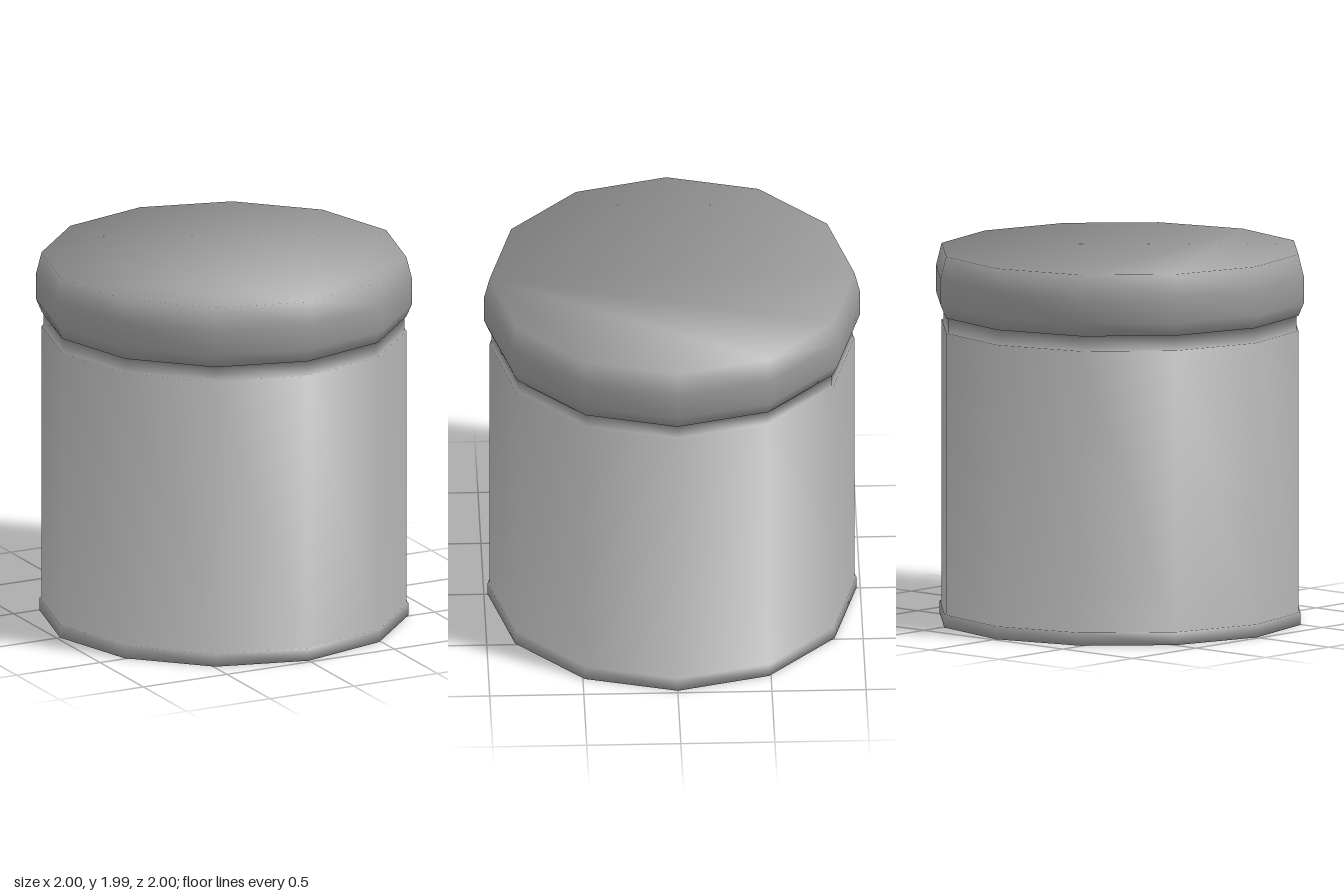
import * as THREE from 'three';

const SIDES = 12;
const HALF_STEP = Math.PI / SIDES;
const material = new THREE.MeshStandardMaterial({ color: 0x9a9a9a, side: THREE.DoubleSide });

// Smooth profile normal at point i, each band weighted by its corner angle
function profileNormal(points, i) {
  const n = new THREE.Vector2();
  for (const step of [-1, 1]) {
    const other = points[i + step];
    if (!other) continue;
    const along = other.clone().sub(points[i]).normalize();
    const weight = Math.PI / 2 + HALF_STEP * along.x;
    n.x += step * along.y * weight * Math.cos(HALF_STEP);
    n.y -= step * along.x * weight;
  }
  return n.normalize();
}

// Twelve-sided turned shape, smooth all over; the last profile point is the
// middle of the flat top, which is closed as one polygon
function turned(profile) {
  const points = profile.map(([r, y]) => new THREE.Vector2(r, y));
  const rings = points.slice(0, -1);
  const count = rings.length;
  const geometry = new THREE.LatheGeometry(rings, SIDES);

  const normals = rings.map((p, i) => profileNormal(points, i));
  const attribute = geometry.attributes.normal;
  for (let s = 0; s <= SIDES; s++) {
    const a = s * 2 * HALF_STEP;
    normals.forEach((n, i) =>
      attribute.setXYZ(s * count + i, n.x * Math.sin(a), n.y, n.x * Math.cos(a)));
  }

  const index = [...geometry.index.array];
  const rim = (s) => s * count + count - 1;
  for (let s = 1; s < SIDES - 1; s++) index.push(rim(0), rim(s), rim(s + 1));
  geometry.setIndex(index);
  return geometry;
}

export function createModel() {
  const jar = new THREE.Mesh(turned([
    // Foot ring, open underneath
    [0.97, 0], [0.98, 0], [0.98, 0.07],
    // Straight wall
    [0.97, 0.07], [0.97, 1.58],
    // Recessed neck
    [0.96, 1.58], [0.96, 1.66],
    // Bulged lid with a flat top
    [0.97, 1.66], [1, 1.73], [1, 1.87], [0.97, 1.99], [0, 1.99],
  ]), material);
  jar.name = 'jarWithLid';

  const group = new THREE.Group();
  group.name = 'jar';
  group.add(jar);
  return group;
}
